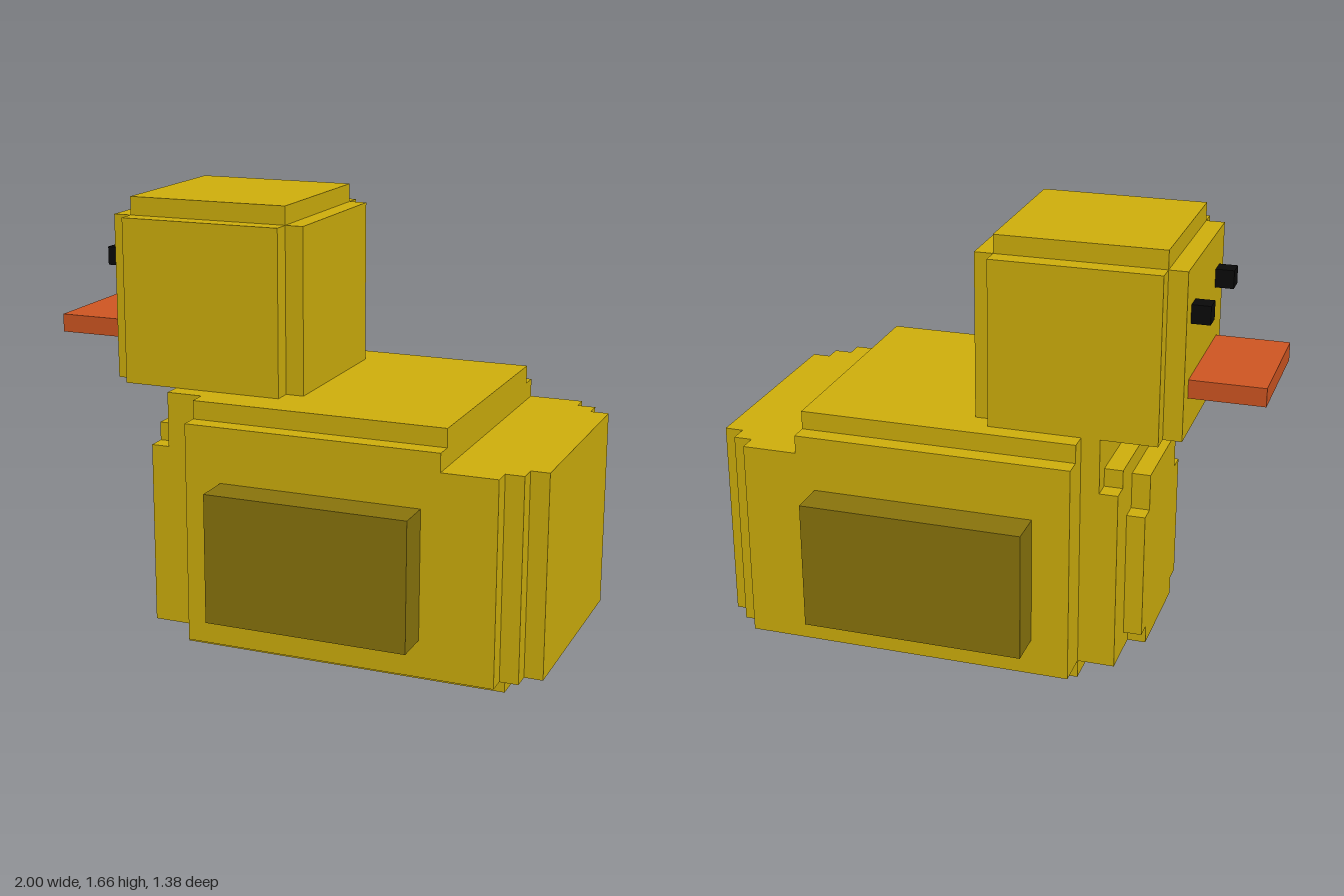
import * as THREE from 'three';

// Everything sits on a grid of small cubes: 29 long (x), 24 high (y), 20 wide (z).
const U = 2 / 29;
const gx = (i) => (i - 14.5) * U;
const gy = (j) => j * U;
const gz = (k) => (k - 10) * U;

const material = (color) => new THREE.MeshStandardMaterial({ color, flatShading: true });

// Box between grid lines
function block(name, mat, [x0, x1], [y0, y1], [z0, z1]) {
  const mesh = new THREE.Mesh(
    new THREE.BoxGeometry((x1 - x0) * U, (y1 - y0) * U, (z1 - z0) * U), mat);
  mesh.position.set(gx((x0 + x1) / 2), gy((y0 + y1) / 2), gz((z0 + z1) / 2));
  mesh.name = name;
  return mesh;
}

// Stepped plan outline of [x, z] grid corners, extruded upward from y0 to y1
function slab(name, mat, plan, y0, y1) {
  const shape = new THREE.Shape(plan.map(([x, z]) => new THREE.Vector2(gx(x), -gz(z))));
  const geometry = new THREE.ExtrudeGeometry(shape, { depth: (y1 - y0) * U, bevelEnabled: false });
  geometry.rotateX(-Math.PI / 2);
  const mesh = new THREE.Mesh(geometry, mat);
  mesh.position.y = gy(y0);
  mesh.name = name;
  return mesh;
}

export function createModel() {
  const yellow = material(0xd0b00c);
  const olive = material(0x8a750c);
  const orange = material(0xd05622);
  const black = material(0x0a0a0a);

  // Body: belly, main trunk with stepped tail corners, raised back
  const body = new THREE.Group();
  body.name = 'body';
  const shoulders = (x1, z0, z1) => [
    [8, 4], [9, 4], [9, z0], [x1, z0], [x1, z1], [10, z1], [10, 16], [8, 16]];
  const trunk = [
    [8, 4], [9, 4], [9, 2], [27, 2], [27, 3], [28, 3], [28, 4], [29, 4],
    [29, 16], [28, 16], [28, 17], [27, 17], [27, 18], [10, 18], [10, 16], [8, 16]];
  body.add(
    block('belly', yellow, [9, 27], [0, 1], [4, 16]),
    slab('trunk', yellow, trunk, 1, 12),
    slab('lowerBack', yellow, shoulders(24, 2, 18), 12, 13),
    slab('upperBack', yellow, shoulders(24, 3, 17), 13, 14));

  // Breast: stepped layers in front of the trunk
  const breast = new THREE.Group();
  breast.name = 'breast';
  breast.add(
    block('breastBase', yellow, [7, 8], [1, 11], [4, 16]),
    block('breastTop', yellow, [7, 8], [11, 12], [5, 15]),
    block('breastPlate', yellow, [6, 7], [1, 11], [7, 13]));
  for (const z of [6, 13]) {
    breast.add(block('breastPlateSide', yellow, [6, 7], [2, 9], [z, z + 1]));
  }

  // Head: notched corners and a smaller crown, with beak and eyes
  const head = new THREE.Group();
  head.name = 'head';
  const skull = [
    [4, 5], [5, 5], [5, 4], [14, 4], [14, 5], [15, 5],
    [15, 14], [14, 14], [14, 15], [5, 15], [5, 14], [4, 14]];
  head.add(
    slab('skull', yellow, skull, 14, 23),
    block('crown', yellow, [5, 14], [23, 24], [5, 14]),
    block('beak', orange, [0, 4], [16, 17], [6, 13]));
  for (const z of [6, 12]) {
    head.add(block('eye', black, [3, 4], [20, 21], [z, z + 1]));
  }

  const model = new THREE.Group();
  model.name = 'duck';
  model.add(
    body, breast, head,
    block('frontWing', olive, [12, 23], [3, 10], [18, 20]),
    block('backWing', olive, [11, 23], [3, 10], [0, 2]));
  return model;
}
